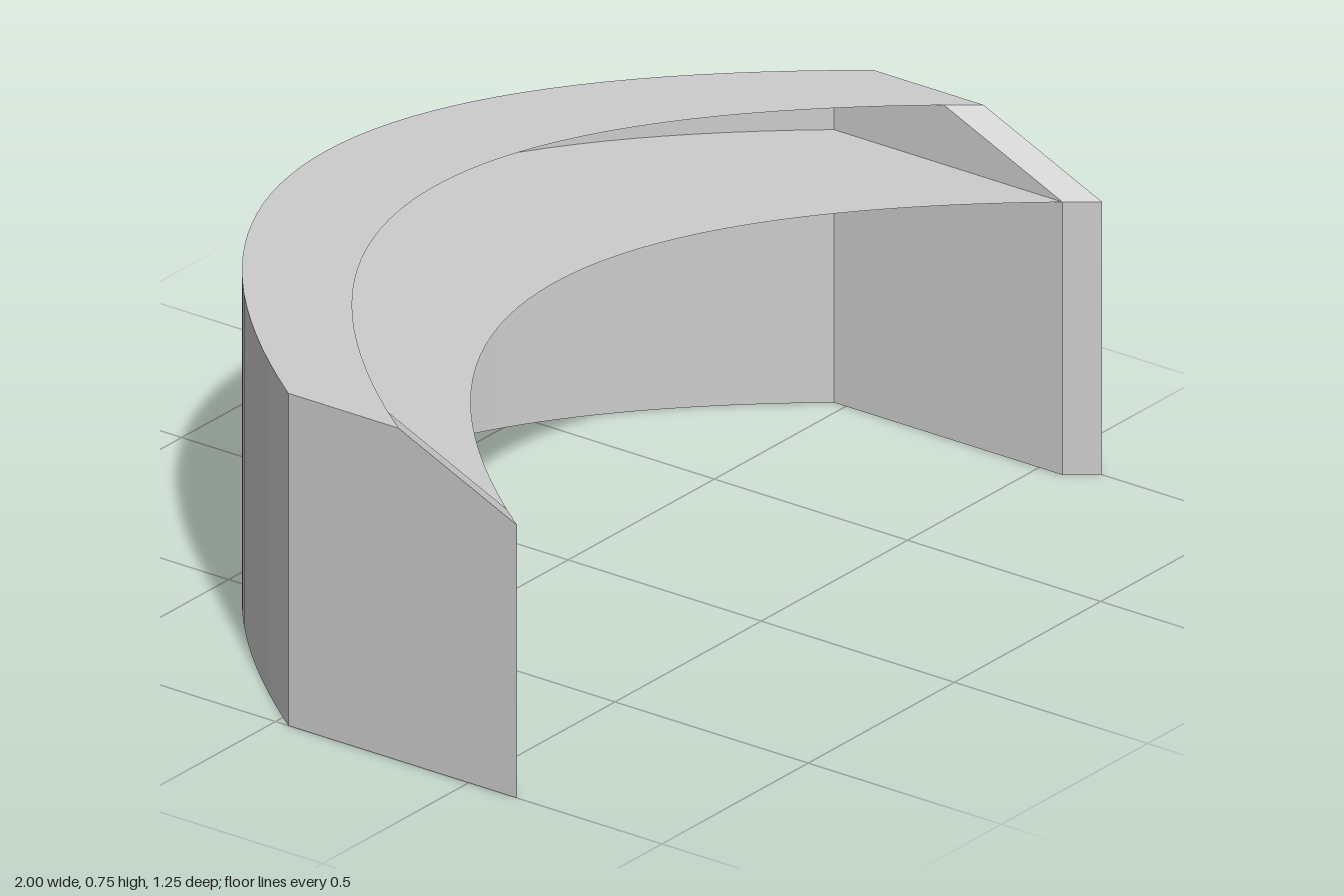
import * as THREE from 'three';

const HEIGHT = 0.755, DESK_Y = 0.62;
const DEPTH = 0.592, TIER = 0.285;   // front-to-back depth of desk and upper ledge
const INNER = 0.95, THICK = 0.05;    // inner half width, end panel thickness

// plan curve of the back, a shallow parabola
const arc = (x) => -0.627 + 0.66 * x * x;

export function createModel() {
  const group = new THREE.Group();
  const material = new THREE.MeshStandardMaterial({
    color: 0xcccccc, flatShading: true, side: THREE.DoubleSide,
  });

  function add(name, geometry) {
    geometry.computeVertexNormals();
    const mesh = new THREE.Mesh(geometry, material);
    mesh.name = name;
    group.add(mesh);
  }

  // thin sheet following the curve; place(x, t) gives the y and z for t from 0 to 1
  function sheet(name, place) {
    const geometry = new THREE.PlaneGeometry(2 * INNER, 1, 40, 1);
    const p = geometry.attributes.position;
    for (let i = 0; i < p.count; i++) {
      const x = p.getX(i);
      const [y, z] = place(x, p.getY(i) + 0.5);
      p.setXYZ(i, x, y, z);
    }
    add(name, geometry);
  }

  sheet('backWall', (x, t) => [t * HEIGHT, arc(x)]);
  sheet('upperLedge', (x, t) => [HEIGHT, arc(x) + (1 - t) * TIER]);
  sheet('worktop', (x, t) => [DESK_Y, arc(x) + (1 - t) * DEPTH]);

  // end panels: side profile with a sloped top, sheared to follow the curve
  const profile = new THREE.Shape([
    [0, 0], [DEPTH, 0], [DEPTH, DESK_Y], [TIER, HEIGHT], [0, HEIGHT],
  ].map(([u, y]) => new THREE.Vector2(u, y)));
  for (const [name, outerX] of [['leftEndPanel', 1], ['rightEndPanel', -INNER]]) {
    const geometry = new THREE.ExtrudeGeometry(profile, { depth: THICK, bevelEnabled: false });
    const p = geometry.attributes.position;
    for (let i = 0; i < p.count; i++) {
      const x = outerX - p.getZ(i);
      p.setXYZ(i, x, p.getY(i), arc(x) + p.getX(i));
    }
    add(name, geometry);
  }

  return group;
}
